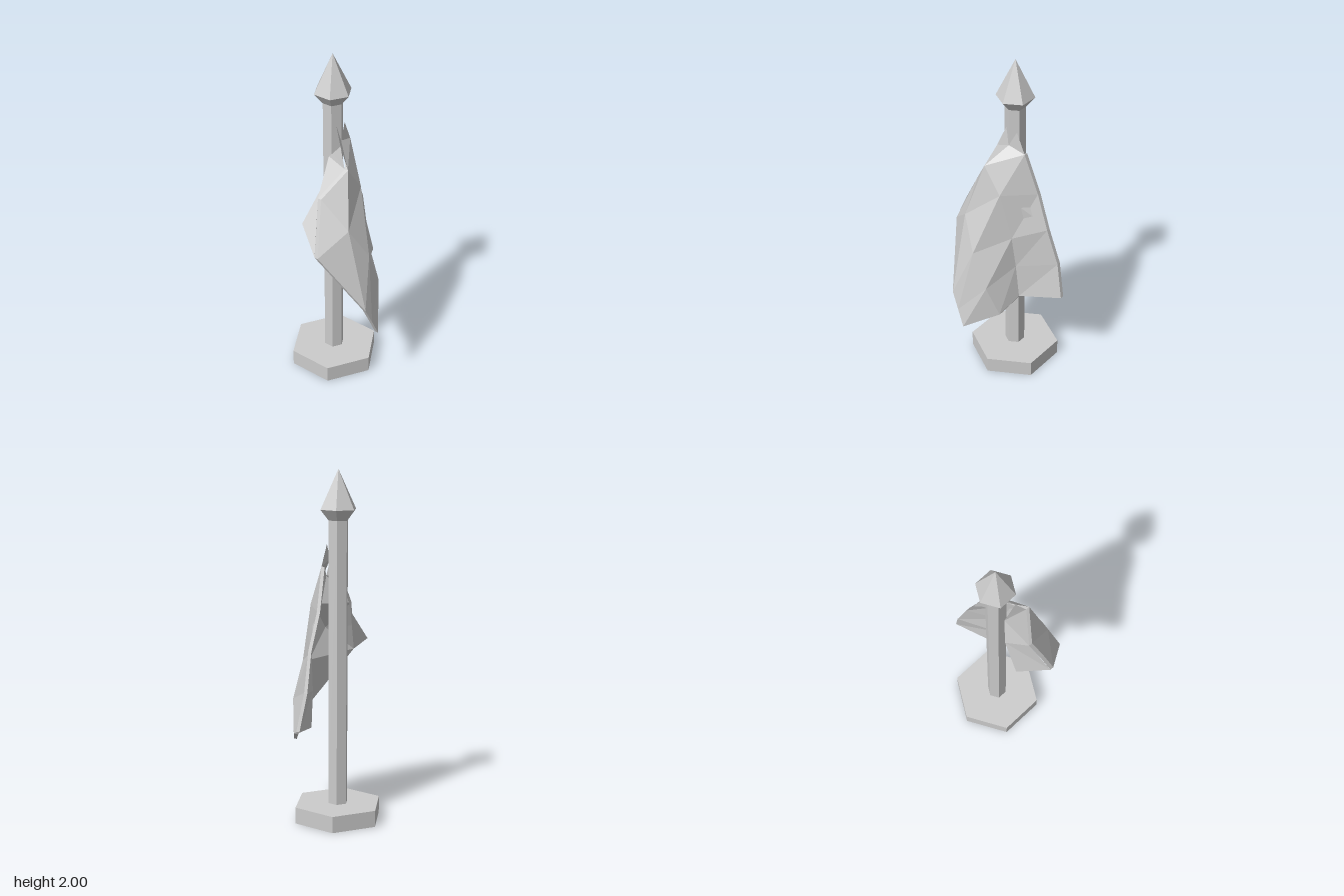
import * as THREE from 'three';

const grey = new THREE.MeshStandardMaterial({ color: 0xcccccc, flatShading: true });
const clothMat = new THREE.MeshStandardMaterial({ color: 0xcccccc, flatShading: true, side: THREE.DoubleSide });

const AXIS = [-0.062, 0.018]; // x, z of the pole
const THICK = 0.022;

// six-sided prism or cone standing on the pole axis, corners on the x axis
function hex(name, rTop, rBottom, y0, y1) {
  const g = new THREE.CylinderGeometry(rTop, rBottom, y1 - y0, 6);
  g.rotateY(Math.PI / 6);
  g.translate(AXIS[0], (y0 + y1) / 2, AXIS[1]);
  const m = new THREE.Mesh(g, grey);
  m.name = name;
  return m;
}

// mesh from a list of triangles made of [x, y, z] corners
function faces(name, tris) {
  const g = new THREE.BufferGeometry();
  g.setAttribute('position', new THREE.Float32BufferAttribute(tris.flat(2), 3));
  g.computeVertexNormals();
  const m = new THREE.Mesh(g, clothMat);
  m.name = name;
  return m;
}

const inner = ([x, y, z]) => [x - THICK, y, z];

// triangles between successive rows of points
function skin(rows) {
  const tris = [];
  for (let r = 0; r < rows.length - 1; r++) {
    for (let c = 0; c < rows[r].length - 1; c++) {
      const a = rows[r][c], b = rows[r][c + 1], d = rows[r + 1][c + 1], e = rows[r + 1][c];
      tris.push([a, b, d], [a, d, e]);
    }
  }
  return tris;
}

export function createModel() {
  const model = new THREE.Group();

  // stand, pole and spear-shaped finial
  model.add(
    hex('base', 0.262, 0.262, 0, 0.095),
    hex('pole', 0.058, 0.058, 0.095, 1.72),
    hex('finialCollar', 0.107, 0.058, 1.72, 1.78),
    hex('finialPoint', 0, 0.107, 1.78, 2),
  );

  // folded flag: rows run down the cloth, each from the back edge to the front edge
  const rows = [
    [[-0.02, 1.47, -0.08], [0.105, 1.39, 0.1], [0.015, 1.23, 0.22], [0.05, 1.08, 0.28]],
    [[-0.045, 1.23, -0.155], [0.11, 1.24, -0.01], [0.177, 1.07, 0.185], [0.08, 0.93, 0.335]],
    [[-0.04, 1.02, -0.227], [0.08, 0.96, -0.07], [0.24, 0.88, 0.08], [0.3, 0.59, 0.187]],
    [[-0.06, 0.8, -0.29], [0.06, 0.76, -0.085], [0.24, 0.67, -0.012], [0.312, 0.49, 0.14]],
    [[-0.04, 0.59, -0.335], [0.055, 0.55, -0.105], [0.19, 0.48, -0.07], [0.322, 0.39, 0.095]],
  ];
  const flag = new THREE.Group();
  flag.name = 'flag';
  flag.add(faces('flagOuterFace', skin(rows)));
  flag.add(faces('flagInnerFace', skin(rows.map((r) => r.map(inner).reverse()))));

  // hem closing the thickness all the way round
  const loop = [
    ...rows[0],
    ...rows.slice(1).map((r) => r[3]),
    ...rows[4].slice(0, 3).reverse(),
    ...rows.slice(0, 4).reverse().map((r) => r[0]),
  ];
  flag.add(faces('flagHem', skin([loop.map(inner), loop])));

  // front edge turned back behind the pole side
  const turned = [[-0.05, 1.41, 0.07], [-0.082, 1.2, 0.11], [-0.113, 1.03, 0.232]];
  const edge = [rows[0][1], rows[0][2], rows[1][3]].map(inner);
  flag.add(faces('flagTurnedEdge', skin([turned, edge])));

  // gathered top tied to the pole with two peaks
  const [back, front] = rows[0];
  const peakFront = [-0.018, 1.6, 0.045], peakBack = [-0.018, 1.59, -0.028];
  const dip = [-0.006, 1.5, 0.018], shoulder = [0.03, 1.5, 0.07];
  flag.add(faces('flagTie', [
    [front, dip, shoulder], [shoulder, dip, peakFront],
    [front, back, dip], [back, peakBack, dip],
    [inner(front), shoulder, [-0.02, 1.44, 0.07]],
    [inner(front), [-0.02, 1.44, 0.07], turned[0]],
  ]));
  model.add(flag);
  return model;
}
